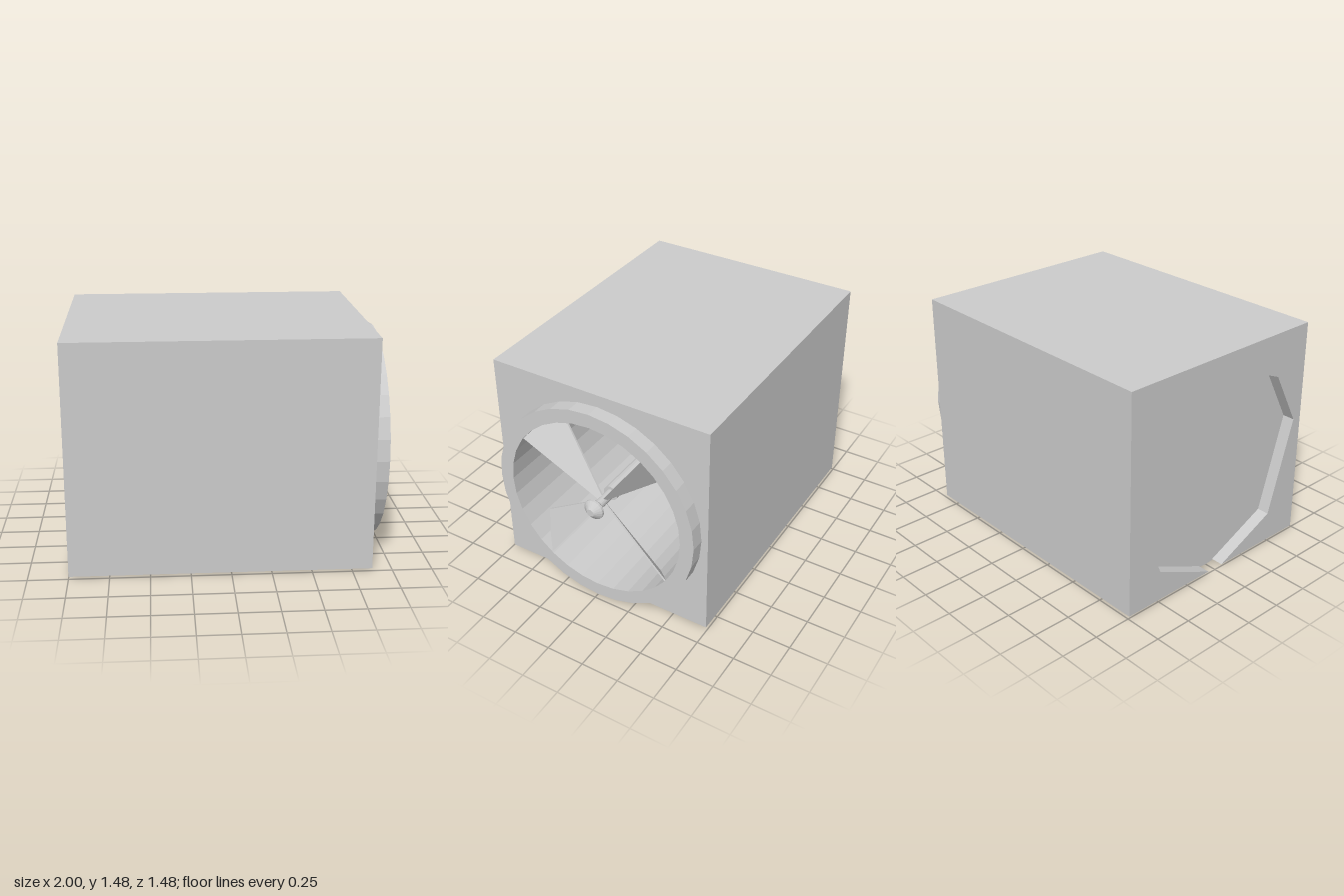
import * as THREE from 'three';

const CY = 0.697; // height of the duct axis
const BACK = -0.92, LIP = 0.965, FACE = 0.875;
const B = 0.012, T = 1.475, W = 0.74; // housing bottom, top, half depth

export function createModel() {
  const model = new THREE.Group();
  const grey = new THREE.MeshStandardMaterial({ color: 0xcccccc, flatShading: true });

  const add = (name, geometry, parent = model) => {
    const mesh = new THREE.Mesh(geometry, grey);
    mesh.name = name;
    parent.add(mesh);
    return mesh;
  };

  // Extrude a shape (u = -z, v = y) along x between two positions
  const alongX = (shape, x0, x1) =>
    new THREE.ExtrudeGeometry(shape, { depth: x1 - x0, bevelEnabled: false })
      .rotateY(Math.PI / 2).translate(x0, 0, 0);

  // Turn a [radius, x] profile about the duct axis
  const turned = (profile, sides) =>
    new THREE.LatheGeometry(profile.map(([r, x]) => new THREE.Vector2(r, x)), sides)
      .rotateZ(-Math.PI / 2).translate(0, CY, 0);

  // Housing block with the bore for the duct
  const block = new THREE.Shape([[-W, B], [-W, T], [W, T], [W, B]].map(p => new THREE.Vector2(...p)));
  block.holes.push(new THREE.Path().absarc(0, CY, 0.66, 0, Math.PI * 2, true));
  add('housing', alongX(block, BACK, FACE));

  // Back plate: faceted recess that breaks through at the bottom
  const plate = [[-W, B], [-W, T], [W, T], [W, B], [0.06, B]];
  for (const deg of [-45, 0, 45, 90, 135, 168.75, 225]) {
    const a = THREE.MathUtils.degToRad(deg);
    plate.push([0.69 * Math.cos(a), CY + 0.69 * Math.sin(a)]);
  }
  plate.push([-0.06, B]);
  add('backPlate', alongX(new THREE.Shape(plate.map(p => new THREE.Vector2(...p))), -1, BACK));

  // Round duct, closed at the back, with its lip standing proud at the front
  add('duct', turned([[0, BACK], [0.697, BACK], [0.697, LIP], [0.605, LIP], [0.605, -0.9], [0, -0.9]], 32));

  // Motor, shaft and hub cap
  add('motor', turned([[0, -0.9], [0.05, -0.9], [0.05, 0.78], [0, 0.78]], 16));
  add('shaft', turned([[0.03, 0.77], [0.03, 0.95]], 16));
  add('hubCap', turned([[0, 0.925], [0.04, 0.925], [0.067, 0.95], [0.067, LIP], [0.025, 1], [0, 1]], 20));

  // Four pitched blades that widen towards the duct wall
  const fan = new THREE.Group();
  fan.name = 'fan';
  fan.position.set(0.86, CY, 0);
  model.add(fan);
  const bladeGeometry = new THREE.BoxGeometry(0.012, 0.585, 1).translate(0, 0.3125, 0);
  const p = bladeGeometry.attributes.position;
  for (let i = 0; i < p.count; i++) {
    const half = p.getY(i) > 0.3 ? 0.108 : 0.01;
    const side = Math.sign(p.getZ(i));
    p.setZ(i, side * half);
    p.setX(i, p.getX(i) + side * half * 0.9); // leading edge sits forward
  }
  bladeGeometry.computeVertexNormals();
  for (let i = 0; i < 4; i++) {
    add('blade' + (i + 1), bladeGeometry, fan).rotation.x = Math.PI / 4 + i * Math.PI / 2;
  }

  return model;
}
